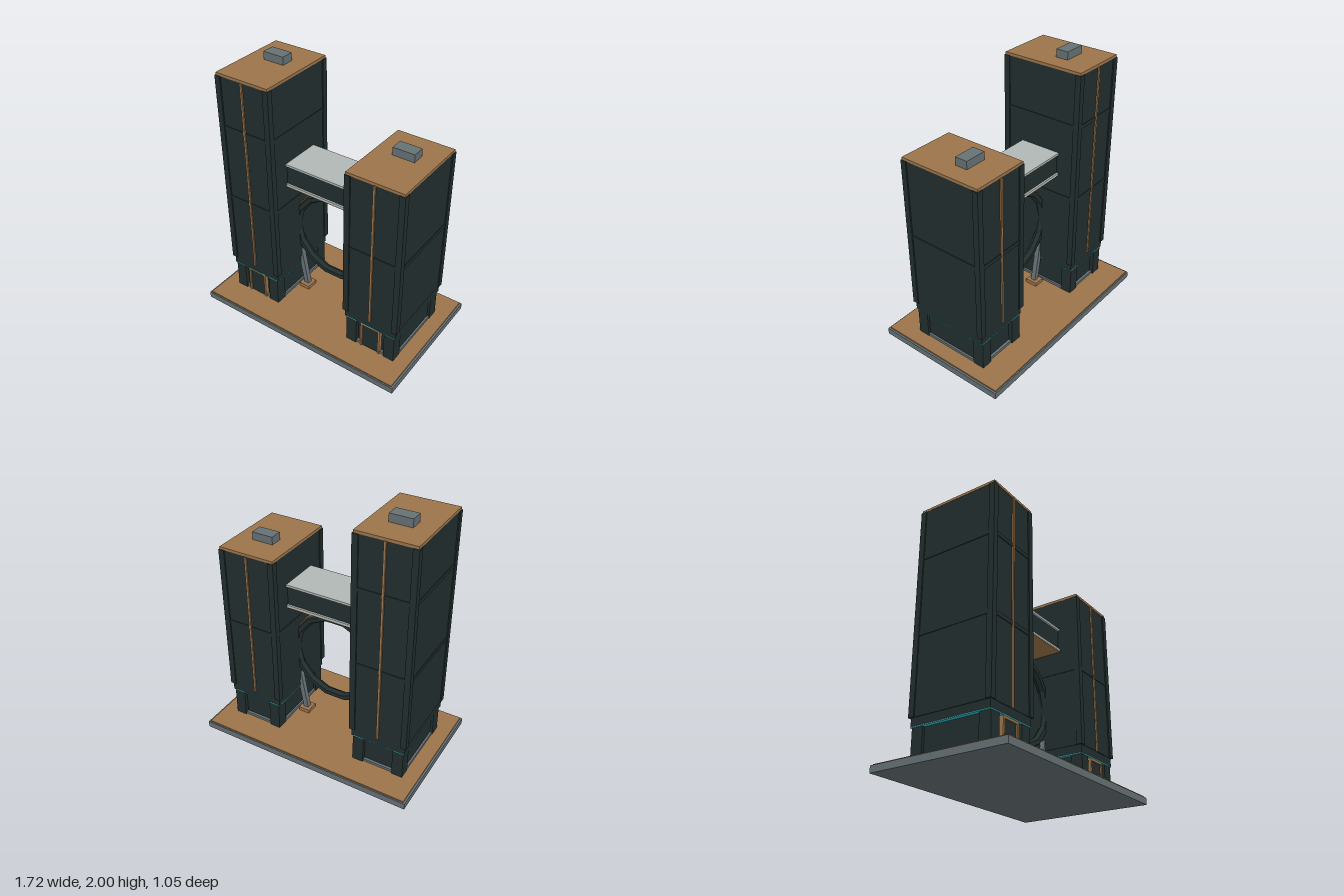
import * as THREE from 'three';

const mat = (name, color) => {
  const m = new THREE.MeshStandardMaterial({ color });
  m.name = name;
  return m;
};

export function createModel() {
  const dark = mat('dark cladding', 0x222e2e);
  const bronze = mat('bronze', 0x9c744a);
  const steel = mat('grey steel', 0x667175);
  const pale = mat('pale concrete', 0xb0b8b4);
  const cyan = mat('cyan light', 0x2fc4d0);

  const model = new THREE.Group();
  model.name = 'twinTowers';

  // Box given by x, y and z ranges
  const box = (parent, name, m, x0, x1, y0, y1, z0, z1) => {
    const mesh = new THREE.Mesh(new THREE.BoxGeometry(x1 - x0, y1 - y0, z1 - z0), m);
    mesh.position.set((x0 + x1) / 2, (y0 + y1) / 2, (z0 + z1) / 2);
    mesh.name = name;
    parent.add(mesh);
    return mesh;
  };

  // Ground slab and paving
  box(model, 'baseSlab', steel, -0.86, 0.86, 0, 0.05, -0.525, 0.525);
  box(model, 'paving', bronze, -0.845, 0.845, 0.05, 0.06, -0.515, 0.515);

  const addTower = (name, x, top, bands) => {
    const t = new THREE.Group();
    t.name = name;
    t.position.x = x;
    model.add(t);

    // Recessed lobby with corner piers
    box(t, 'plinth', steel, -0.2, 0.2, 0.06, 0.08, -0.3, 0.3);
    box(t, 'lobby', dark, -0.185, 0.185, 0.06, 0.285, -0.28, 0.28);
    for (const sx of [-1, 1]) for (const sz of [-1, 1]) {
      const pier = box(t, 'pier', dark, -0.0425, 0.0425, 0.06, 0.285, -0.045, 0.045);
      pier.position.x = sx * 0.161;
      pier.position.z = sz * 0.266;
      const corner = box(t, 'cornerTrim', dark, -0.0225, 0.0225, 0.35, top, -0.0225, 0.0225);
      corner.position.x = sx * 0.206;
      corner.position.z = sz * 0.305;
    }

    // Entrance frame
    for (const s of [-1, 1]) {
      box(t, 'doorPost', bronze, s * 0.075 - 0.008, s * 0.075 + 0.008, 0.06, 0.284, 0.28, 0.312);
    }
    box(t, 'doorLintel', bronze, -0.083, 0.083, 0.268, 0.284, 0.28, 0.311);
    box(t, 'door', dark, -0.067, 0.067, 0.06, 0.268, 0.28, 0.302);

    // Light strip, skirt and shaft
    box(t, 'lightStrip', cyan, -0.216, 0.216, 0.284, 0.289, -0.315, 0.315);
    box(t, 'skirt', dark, -0.215, 0.215, 0.289, 0.35, -0.314, 0.314);
    box(t, 'shaft', dark, -0.22, 0.22, 0.35, top, -0.318, 0.318);
    for (const y of bands) {
      box(t, 'floorBand', dark, -0.225, 0.225, y - 0.015, y + 0.015, -0.323, 0.323);
    }
    for (const s of [-1, 1]) {
      box(t, 'fin', bronze, -0.008, 0.008, 0.35, top, s * 0.32 - 0.009, s * 0.32 + 0.009);
    }

    // Roof and plant box
    box(t, 'roof', bronze, -0.222, 0.222, top, top + 0.02, -0.322, 0.322);
    box(t, 'roofUnit', steel, -0.085, 0.085, top + 0.02, top + 0.08, -0.117, -0.02);
  };
  addTower('tallTower', -0.53, 1.92, [0.935, 1.528]);
  addTower('shortTower', 0.53, 1.525, [0.935]);

  // Skybridge
  box(model, 'bridgeSoffit', bronze, -0.31, 0.31, 1.095, 1.102, -0.163, 0.163);
  box(model, 'bridgeFloor', pale, -0.31, 0.31, 1.102, 1.12, -0.165, 0.165);
  box(model, 'bridgeGlazing', dark, -0.31, 0.31, 1.12, 1.27, -0.15, 0.15);
  box(model, 'bridgeRoof', pale, -0.31, 0.31, 1.27, 1.288, -0.165, 0.165);

  // Faceted ring between the towers
  const addRing = (name, m, r, tube, sides) => {
    const g = new THREE.TorusGeometry(r, tube, sides, 14).toNonIndexed();
    g.computeVertexNormals();
    const ring = new THREE.Mesh(g, m);
    ring.position.y = 0.6625;
    ring.name = name;
    model.add(ring);
  };
  addRing('ring', dark, 0.345, 0.033, 6);
  addRing('ringEdge', bronze, 0.37, 0.013, 6);

  // Leaning struts on footings
  for (const s of [-1, 1]) {
    box(model, 'strutFoot', bronze, s * 0.267 - 0.045, s * 0.267 + 0.045, 0.06, 0.09, -0.05, 0.05);
    const a = new THREE.Vector3(s * 0.265, 0.08, 0);
    const b = new THREE.Vector3(s * 0.325, 0.42, 0);
    const strut = new THREE.Mesh(new THREE.BoxGeometry(0.04, a.distanceTo(b), 0.04), steel);
    strut.position.copy(a).add(b).multiplyScalar(0.5);
    strut.rotation.z = Math.atan2(a.x - b.x, b.y - a.y);
    strut.name = 'strut';
    model.add(strut);
  }

  return model;
}
